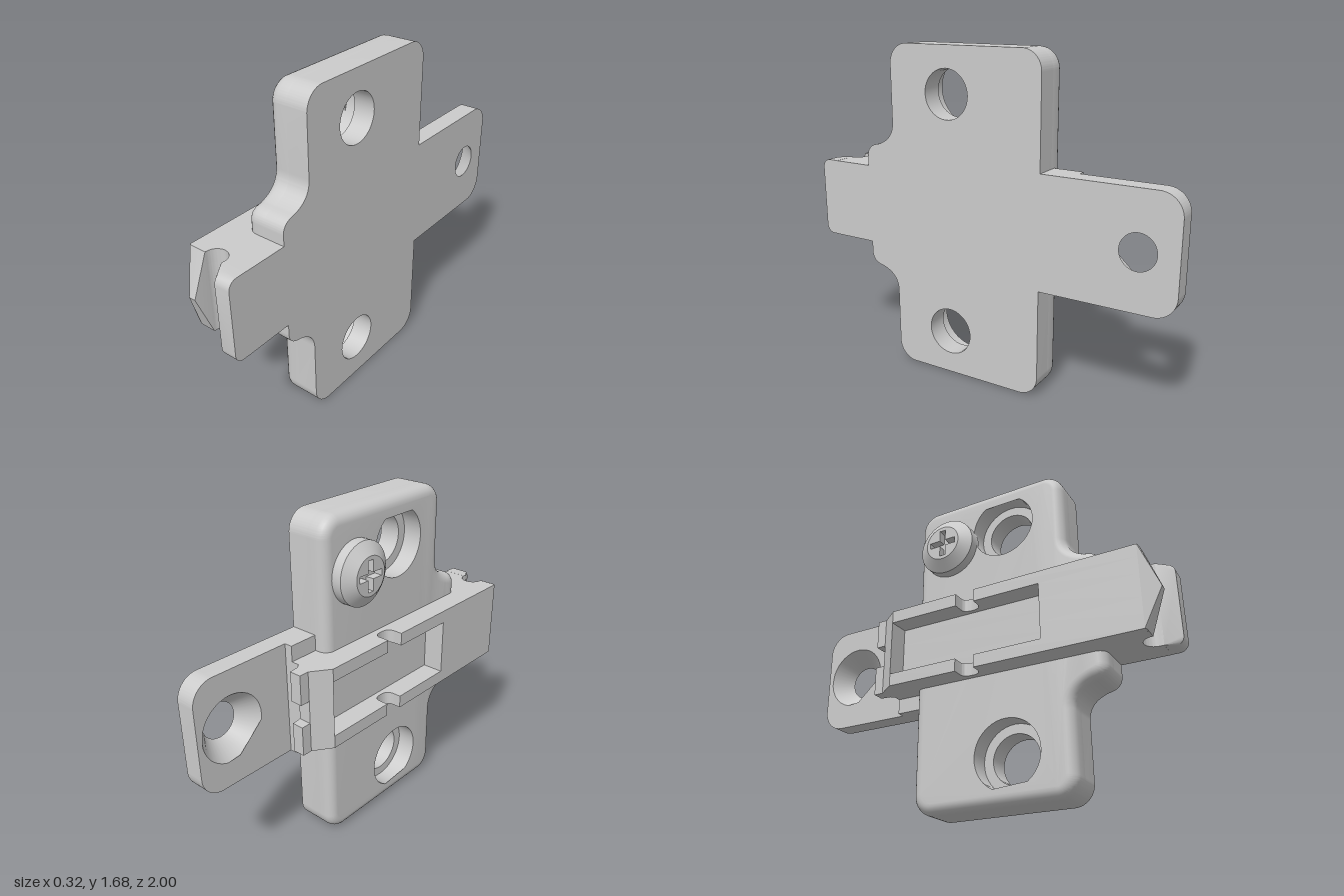
import * as THREE from 'three';
import { toCreasedNormals } from 'three/addons/utils/BufferGeometryUtils.js';
import { ConvexGeometry } from 'three/addons/geometries/ConvexGeometry.js';

const material = new THREE.MeshStandardMaterial({ color: 0xcccccc });
const MID = 0.843; // height of the rail's centre line
const BACK = 0.16; // flat mounting face

function add(group, name, geometry) {
  const mesh = new THREE.Mesh(toCreasedNormals(geometry, 0.5), material);
  mesh.name = name;
  group.add(mesh);
  return mesh;
}

// Outline in (z, y), extruded along x between x0 and x1
function slab(shape, x0, x1, bevel = 0) {
  const g = new THREE.ExtrudeGeometry(shape, {
    depth: x1 - x0 - 2 * bevel, curveSegments: 20, bevelEnabled: bevel > 0,
    bevelSize: bevel, bevelThickness: bevel, bevelOffset: -bevel, bevelSegments: 6,
  });
  g.rotateY(-Math.PI / 2);
  g.translate(x1 - bevel, 0, 0);
  return g;
}

// Outline in (x, z), extruded along y between y0 and y1
function column(shape, y0, y1) {
  const g = new THREE.ExtrudeGeometry(shape, { depth: y1 - y0, bevelEnabled: false, curveSegments: 16 });
  g.rotateX(Math.PI / 2);
  g.translate(0, y1, 0);
  return g;
}

function punch(shape, z, y, r) {
  shape.holes.push(new THREE.Path().absarc(z, y, r, 0, Math.PI * 2, true));
}

// Moves vertices lying within `reach` of a hole centre to radius r
function setHoleRadius(g, z, y, reach, r, test = () => true) {
  const p = g.attributes.position;
  for (let i = 0; i < p.count; i++) {
    const dz = p.getZ(i) - z, dy = p.getY(i) - y, d = Math.hypot(dz, dy);
    if (d < reach && test(p.getX(i))) p.setXYZ(i, p.getX(i), y + dy * r / d, z + dz * r / d);
  }
}

const HOLES = [[0.18, 0.23], [0.18, 1.45]];

// Wing plate outline with shoulders towards the front
function plateShape(holeRadius) {
  const s = new THREE.Shape();
  const r = 0.1, top = 1.68;
  s.moveTo(-0.33 + r, 0);
  s.lineTo(0.51 - r, 0);
  s.absarc(0.51 - r, r, r, -Math.PI / 2, 0, false);
  s.lineTo(0.51, 0.39);
  s.quadraticCurveTo(0.51, 0.48, 0.61, 0.51);
  s.quadraticCurveTo(0.68, 0.52, 0.68, 0.58);
  s.lineTo(0.68, 1.10);
  s.quadraticCurveTo(0.68, 1.16, 0.61, 1.17);
  s.quadraticCurveTo(0.51, 1.20, 0.51, 1.29);
  s.lineTo(0.51, top - r);
  s.absarc(0.51 - r, top - r, r, 0, Math.PI / 2, false);
  s.lineTo(-0.33 + r, top);
  s.absarc(-0.33 + r, top - r, r, Math.PI / 2, Math.PI, false);
  s.lineTo(-0.33, r);
  s.absarc(-0.33 + r, r, r, Math.PI, Math.PI * 1.5, false);
  for (const [z, y] of HOLES) punch(s, z, y, holeRadius);
  return s;
}

// Rail section: side walls carry a notch, the middle a pocket; the lip may be cut away
function railShape(pocket, lip) {
  const s = new THREE.Shape();
  s.moveTo(-0.165, 0.9);
  s.lineTo(-0.07, 0.9);
  s.absarc(-0.015, 0.9, 0.055, Math.PI, Math.PI * 2, false);
  s.lineTo(0.04, 0.92);
  s.lineTo(BACK, 0.92);
  s.lineTo(BACK, -0.48);
  s.lineTo(-0.02, -0.48);
  s.lineTo(-0.035, -0.5);
  if (lip) {
    s.lineTo(-0.04, -0.55);
    s.lineTo(-0.1, -0.55);
  }
  s.lineTo(-0.1, -0.5);
  s.lineTo(-0.165, -0.41);
  if (pocket) {
    s.lineTo(-0.055, -0.41);
    s.lineTo(-0.055, 0.42);
    s.lineTo(-0.165, 0.42);
  } else {
    s.lineTo(-0.165, -0.03);
    s.lineTo(-0.11, -0.03);
    s.quadraticCurveTo(-0.08, -0.03, -0.08, 0.02);
    s.quadraticCurveTo(-0.08, 0.07, -0.125, 0.07);
    s.lineTo(-0.165, 0.07);
  }
  s.closePath();
  return s;
}

function createScrew() {
  const screw = new THREE.Group();
  screw.name = 'adjustingScrew';
  // Built along +y, then turned to face -x
  add(screw, 'screwHead', new THREE.CylinderGeometry(0.155, 0.155, 0.07, 48).translate(0, 0.015, 0));
  add(screw, 'screwBevel', new THREE.CylinderGeometry(0.095, 0.155, 0.042, 48, 1, true).translate(0, 0.071, 0));
  const face = new THREE.Shape().absarc(0, 0, 0.095, 0, Math.PI * 2, false);
  const a = 0.016, b = 0.075;
  face.holes.push(new THREE.Path([
    [a, a], [a, b], [-a, b], [-a, a], [-b, a], [-b, -a],
    [-a, -a], [-a, -b], [a, -b], [a, -a], [b, -a], [b, a],
  ].map(([x, y]) => new THREE.Vector2(x, y))));
  const cap = new THREE.ExtrudeGeometry(face, { depth: 0.042, bevelEnabled: false, curveSegments: 24 });
  add(screw, 'crossRecess', cap.rotateX(-Math.PI / 2).translate(0, 0.05, 0));
  screw.rotation.z = Math.PI / 2;
  screw.position.set(-0.05, 1.395, -0.13);
  return screw;
}

export function createModel() {
  const model = new THREE.Group();
  model.name = 'mountingPlate';

  // Wing plate: rounded outer half with counterbores, sharp inner half with screw holes
  const outer = slab(plateShape(0.17), -0.05, 0.1, 0.05);
  for (const [z, y] of HOLES) setHoleRadius(outer, z, y, 0.225, 0.17);
  add(model, 'wingPlateFront', outer);
  add(model, 'wingPlateBack', slab(plateShape(0.122), 0.05, BACK));

  // Rear tab with a countersunk hole
  const tab = new THREE.Shape();
  tab.moveTo(-0.3, 0.558);
  tab.lineTo(-0.3, 1.128);
  tab.lineTo(-0.89, 1.128);
  tab.absarc(-0.89, 1.018, 0.11, Math.PI / 2, Math.PI, false);
  tab.lineTo(-1, 0.668);
  tab.absarc(-0.89, 0.668, 0.11, Math.PI, Math.PI * 1.5, false);
  tab.closePath();
  punch(tab, -0.81, MID, 0.088);
  const tabGeometry = slab(tab, 0.06, BACK);
  setHoleRadius(tabGeometry, -0.81, MID, 0.1, 0.165, (x) => x < 0.1);
  add(model, 'rearTab', tabGeometry);
  add(model, 'tabStep', new THREE.BoxGeometry(0.14, 0.57, 0.17).translate(0.09, MID, -0.395));

  // Rail, stacked from sections
  const rail = new THREE.Group();
  rail.name = 'rail';
  model.add(rail);
  const sections = [
    [0.635, 0.7, false, true], [0.7, 0.785, true, true], [0.785, 0.9, true, false],
    [0.9, 0.985, true, true], [0.985, 1.05, false, true],
  ];
  for (const [y0, y1, pocket, lip] of sections) add(rail, 'railSection', column(railShape(pocket, lip), y0, y1));

  // Ridged hook and rounded nose at the front of the rail
  const hook = [[-0.115, MID, 0.98], [-0.08, MID, 0.98]];
  const nose = [];
  for (const side of [-1, 1]) {
    const edge = MID + side * 0.2075;
    hook.push([-0.165, edge, 0.9], [-0.07, edge, 0.9], [-0.15, edge, 0.905], [-0.07, edge, 0.905]);
    nose.push([0.04, edge, 0.9], [BACK, edge, 0.9], [0.04, edge, 0.92]);
    for (let i = 0; i <= 6; i++) {
      const t = i / 6 * Math.PI / 2;
      const y = edge - side * 0.045 * (1 - Math.cos(t)), z = 0.955 + 0.045 * Math.sin(t);
      nose.push([0.08, y, z], [BACK, y, z]);
    }
  }
  const hull = (points) => new ConvexGeometry(points.map((p) => new THREE.Vector3(...p)));
  add(rail, 'railHook', hull(hook));
  add(rail, 'railNose', hull(nose));

  model.add(createScrew());
  return model;
}
